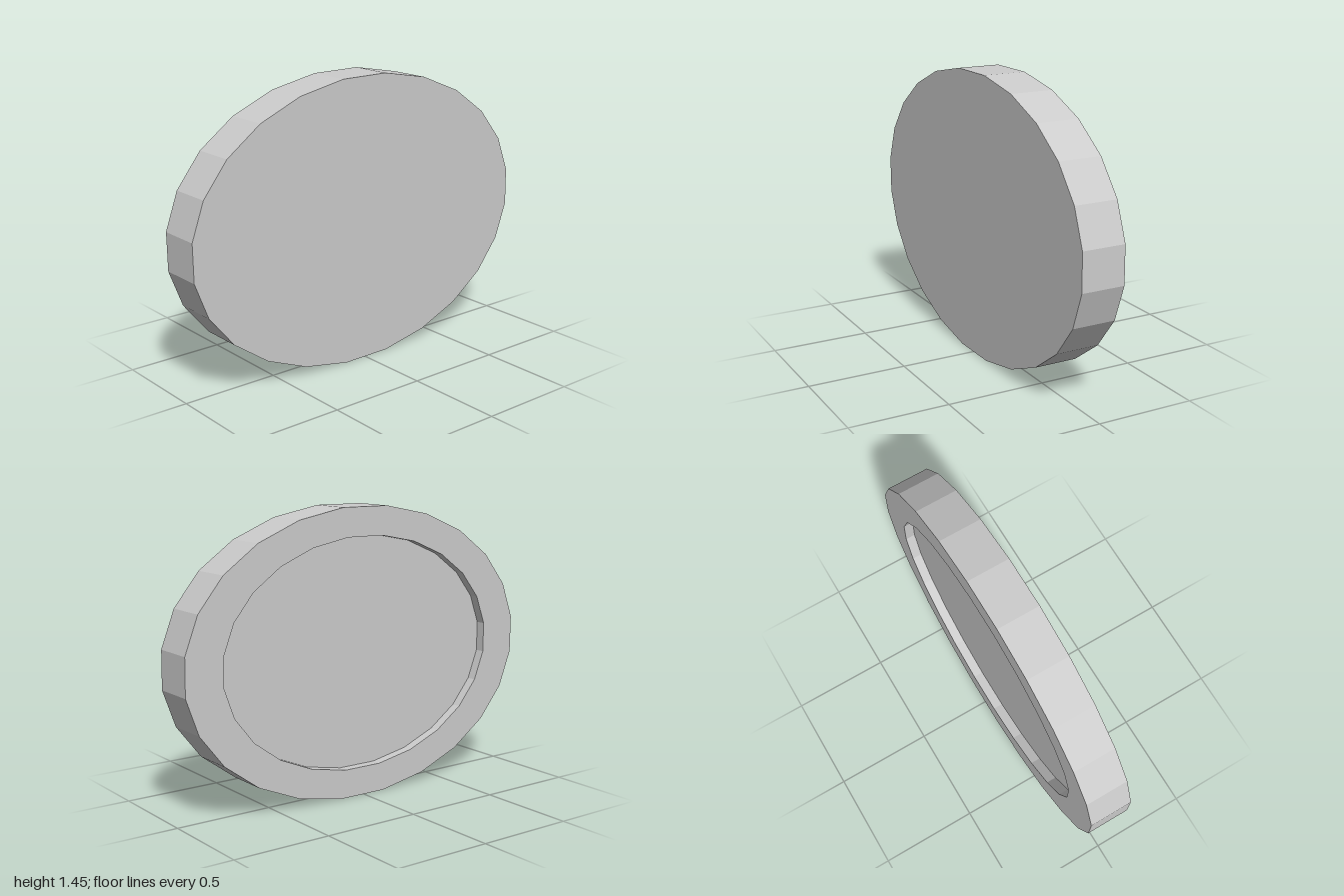
import * as THREE from 'three';

const SIDES = 24;
const RX = 1.008, RY = 0.728; // ellipse radii
const HALF = 0.11;            // half thickness
const RIM = 0.8;              // recess size relative to the outline
const DEPTH = 0.05;           // recess depth

export function createModel() {
  const group = new THREE.Group();
  group.name = 'ovalPlaque';

  // Half section: recessed back, rim, outer wall, flat front
  const profile = [
    [0, -HALF + DEPTH], [RIM, -HALF + DEPTH], [RIM, -HALF],
    [1, -HALF], [1, HALF], [0, HALF],
  ].map(([r, z]) => new THREE.Vector2(r, z));

  // Turn the section, face it to the front and stretch it to an oval
  let geometry = new THREE.LatheGeometry(profile, SIDES, THREE.MathUtils.degToRad(8));
  geometry.rotateX(Math.PI / 2);
  geometry.scale(RX, RY, 1);
  geometry.translate(0, 0.722, 0);
  geometry = geometry.toNonIndexed();
  geometry.computeVertexNormals();

  const disc = new THREE.Mesh(
    geometry,
    new THREE.MeshStandardMaterial({ color: 0xcccccc, flatShading: true })
  );
  disc.name = 'recessedDisc';
  group.add(disc);
  return group;
}
